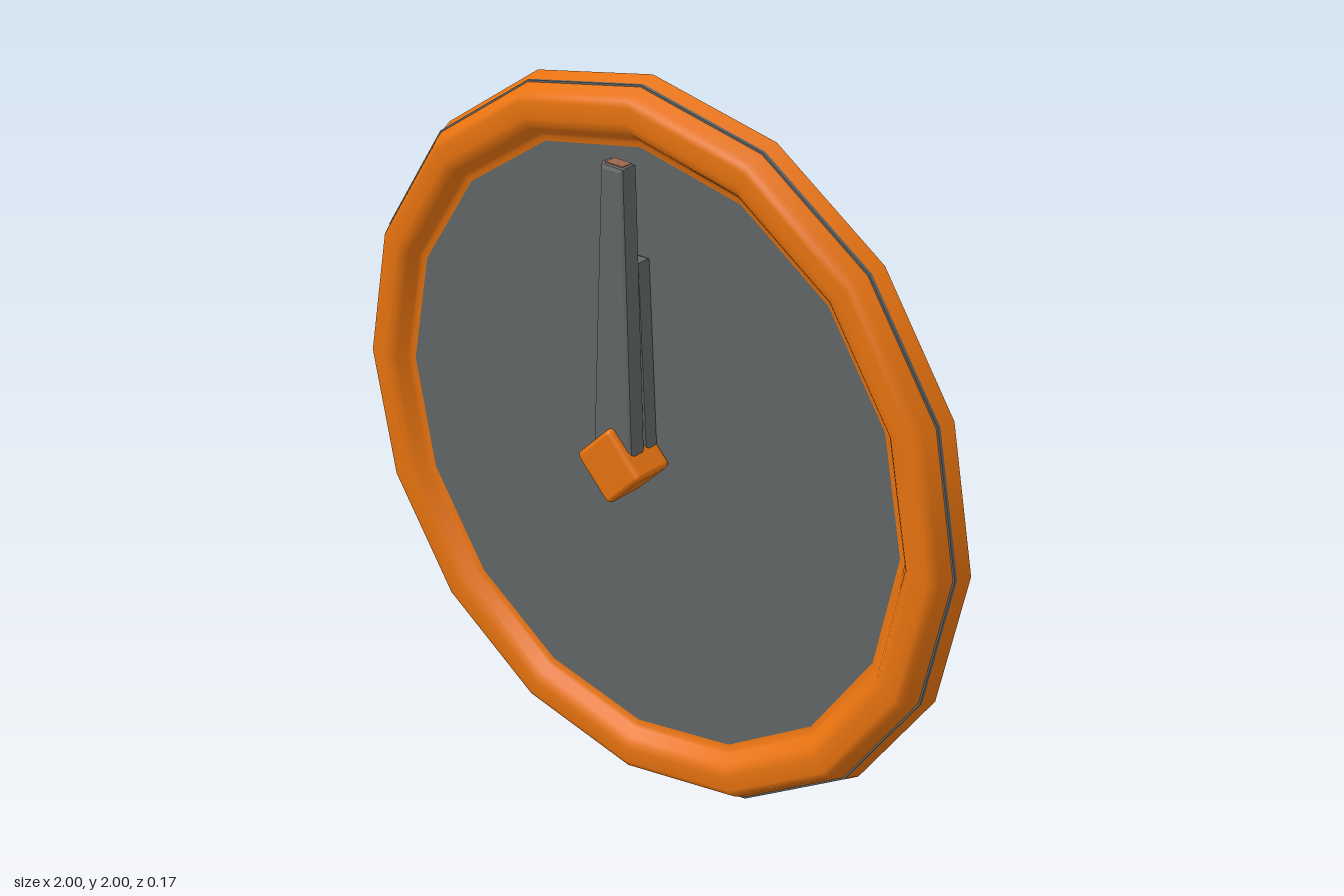
import * as THREE from 'three';
import { RoundedBoxGeometry } from 'three/addons/geometries/RoundedBoxGeometry.js';

const SIDES = 16;

function makeMaterial(name, color) {
  const m = new THREE.MeshStandardMaterial({ color });
  m.name = name;
  return m;
}

function part(name, geometry, material) {
  const mesh = new THREE.Mesh(geometry, material);
  mesh.name = name;
  return mesh;
}

// Tapered, bevelled clock hand standing upright from y0 to y1
function handGeometry(y0, y1, baseHalf, tipHalf, z0, z1) {
  const b = 0.012;
  const s = new THREE.Shape();
  s.moveTo(-baseHalf + b, y0 + b);
  s.lineTo(baseHalf - b, y0 + b);
  s.lineTo(tipHalf - b, y1 - b);
  s.lineTo(-tipHalf + b, y1 - b);
  s.closePath();
  const g = new THREE.ExtrudeGeometry(s, {
    depth: z1 - z0 - 2 * b, bevelEnabled: true,
    bevelThickness: b, bevelSize: b, bevelSegments: 2,
  });
  g.translate(0, 0, z0 + b);
  return g;
}

export function createModel() {
  const orange = makeMaterial('orange', 0xe6720f);
  const grey = makeMaterial('slate grey', 0x626667);
  const brown = makeMaterial('tip brown', 0x9a6650);
  const clock = new THREE.Group();
  clock.name = 'wallClock';

  // Face and back plate: one sixteen-sided disc
  const disc = new THREE.CylinderGeometry(0.985, 0.985, 0.045, SIDES);
  disc.rotateX(Math.PI / 2);
  const dial = part('dial', disc, grey);
  dial.position.set(0, 1, -0.0625);
  clock.add(dial);

  // Raised rim with rounded shoulders, sloping in to the face
  const profile = [
    [1, -0.085], [0.985, -0.05], [0.965, -0.01], [0.955, 0.004], [0.94, 0.01],
    [0.9, 0.01], [0.88, 0.006], [0.868, -0.006], [0.85, -0.03],
    [0.842, -0.036], [0.828, -0.039],
  ].map(([r, z]) => new THREE.Vector2(r, z));
  const rimGeometry = new THREE.LatheGeometry(profile, SIDES);
  rimGeometry.rotateX(Math.PI / 2);
  const rim = part('rim', rimGeometry, orange);
  rim.position.y = 1;
  clock.add(rim);

  // Narrow back edge of the rim around the plate
  const edge = new THREE.RingGeometry(0.98, 1, SIDES, 1);
  edge.rotateY(Math.PI);
  const rimBack = part('rimBack', edge, orange);
  rimBack.position.set(0, 1, -0.0848);
  rimBack.rotation.z = Math.PI / 2;
  clock.add(rimBack);

  // Both hands point straight up, the shorter one behind
  clock.add(part('hourHand', handGeometry(1.04, 1.55, 0.065, 0.038, -0.039, 0.008), grey));
  clock.add(part('minuteHand', handGeometry(1.04, 1.81, 0.066, 0.038, 0.012, 0.065), grey));
  const tip = part('minuteHandTip', new THREE.BoxGeometry(0.056, 0.004, 0.034), brown);
  tip.position.set(0, 1.81, 0.0385);
  clock.add(tip);

  // Diamond-shaped hub
  const hub = part('hub', new RoundedBoxGeometry(0.155, 0.155, 0.125, 2, 0.014), orange);
  hub.rotation.z = Math.PI / 4;
  hub.position.set(0, 1, 0.0225);
  clock.add(hub);

  return clock;
}
